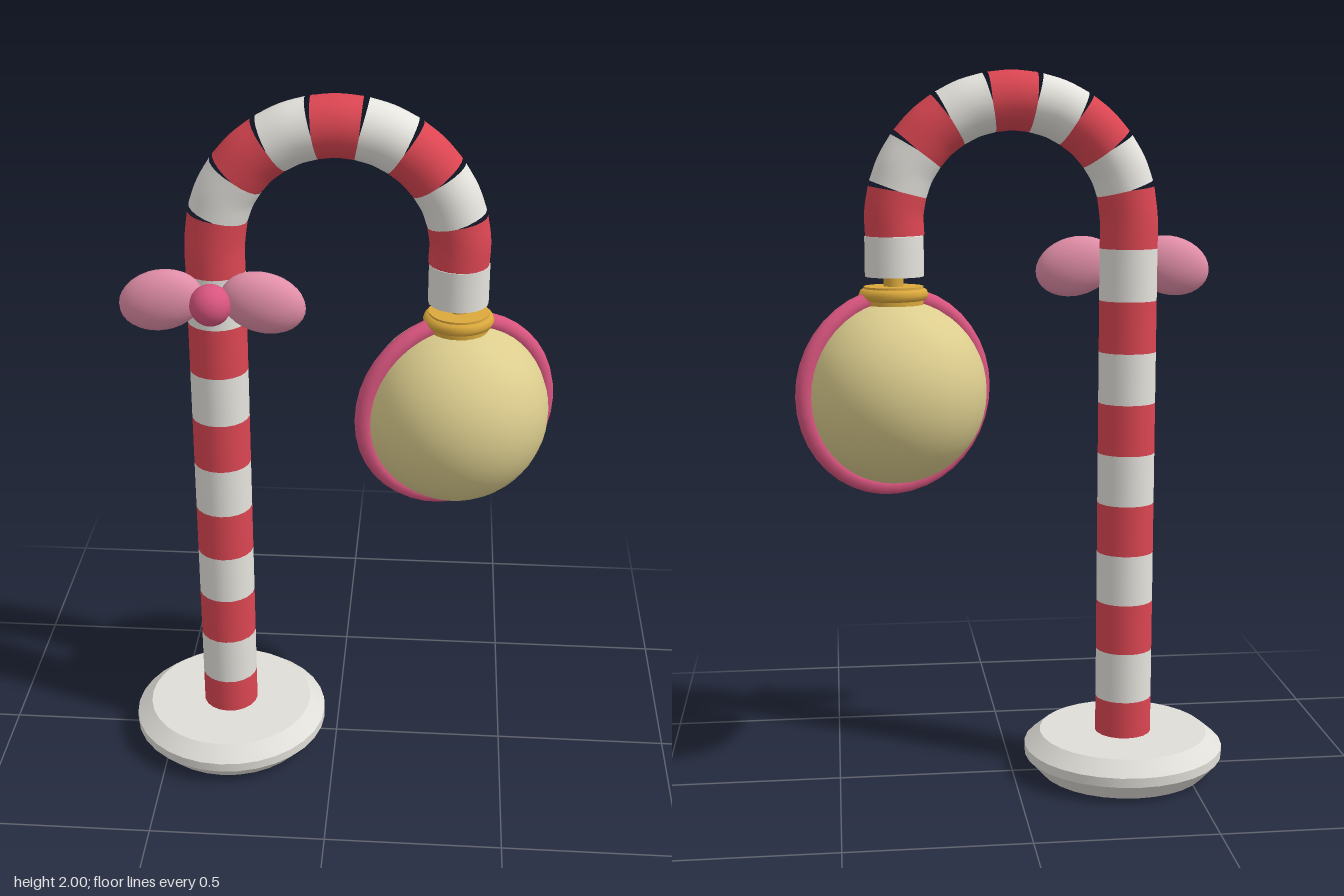
import * as THREE from 'three';

export function createModel() {
  const model = new THREE.Group();
  const paint = (name, color) => {
    const m = new THREE.MeshStandardMaterial({ color });
    m.name = name;
    return m;
  };
  const red = paint('stripe red', 0xdc4652);
  const white = paint('stripe white', 0xe6e4de);
  const stone = paint('base white', 0xdfddd7);
  const cream = paint('bauble cream', 0xdccd8e);
  const gold = paint('cap gold', 0xdba83c);
  const rose = paint('ribbon rose', 0xd9557f);
  const pink = paint('bow pink', 0xe18ea8);

  const add = (name, geometry, material, x = 0, y = 0, z = 0, parent = model) => {
    const mesh = new THREE.Mesh(geometry, material);
    mesh.name = name;
    mesh.position.set(x, y, z);
    parent.add(mesh);
    return mesh;
  };

  const R = 0.325;       // radius of the hook, also the pole offset
  const TUBE = 0.081;    // cane thickness
  const HOOK_Y = 1.595;  // centre height of the hook

  // Base: two bevels around a narrow rim
  const baseProfile = [[0.243, 0], [0.288, 0.05], [0.288, 0.077], [0.243, 0.115]];
  for (let i = 0; i < 3; i++) {
    const [r0, y0] = baseProfile[i], [r1, y1] = baseProfile[i + 1];
    add('base', new THREE.CylinderGeometry(r1, r0, y1 - y0, 32, 1, i === 1), stone, -R, (y0 + y1) / 2, 0);
  }

  // Straight pole: alternating bands
  const START = 0.077, BAND = 0.1441;
  for (let i = 0; i < 10; i++) {
    add('poleBand', new THREE.CylinderGeometry(TUBE, TUBE, BAND, 20, 1, true),
      i % 2 ? white : red, -R, START + BAND * (i + 0.5), 0);
  }

  // Hook: short bent bands, angle measured from the top
  const onHook = (deg) => {
    const a = THREE.MathUtils.degToRad(deg);
    return new THREE.Vector3(Math.sin(a) * R, HOOK_Y + Math.cos(a) * R, 0);
  };
  const hookBand = (points, material) =>
    add('hookBand', new THREE.TubeGeometry(new THREE.CatmullRomCurve3(points), 8, TUBE, 20), material);
  const STEP = 21.5;
  hookBand([new THREE.Vector3(-R, START + BAND * 10, 0), onHook(-90), onHook(-75.25)], red);
  for (let i = 0; i < 8; i++) {
    const a = -75.25 + i * STEP;
    hookBand([onHook(a), onHook(a + STEP / 2), onHook(a + STEP)], i % 2 ? red : white);
  }
  // Hook tip
  add('hookTip', new THREE.CylinderGeometry(TUBE, TUBE, 0.11, 20), white, R, 1.501, 0);

  // Hanging bauble with its cap, link and tilted ribbon ring
  const bauble = new THREE.Group();
  bauble.name = 'bauble';
  bauble.position.set(0.328, 1.127, 0);
  model.add(bauble);
  add('ball', new THREE.SphereGeometry(0.256, 32, 24), cream, 0, 0, 0, bauble);
  add('cap', new THREE.CylinderGeometry(0.082, 0.082, 0.06, 24), gold, 0, 0.262, 0, bauble);
  add('capRim', new THREE.TorusGeometry(0.078, 0.018, 8, 28), gold, 0, 0.27, 0, bauble).rotation.x = Math.PI / 2;
  add('link', new THREE.CylinderGeometry(0.027, 0.027, 0.08, 12), gold, 0, 0.31, 0, bauble);
  add('ribbonRing', new THREE.TorusGeometry(0.265, 0.026, 10, 40), rose, 0, 0, 0, bauble).rotation.y = 0.36;

  // Bow: two mirrored loops and a knot
  const bow = new THREE.Group();
  bow.name = 'bow';
  bow.position.set(-R, 1.463, 0.085);
  model.add(bow);
  for (const side of [-1, 1]) {
    const loop = add('bowLoop', new THREE.SphereGeometry(1, 24, 16), pink, side * 0.136, 0, 0, bow);
    loop.scale.set(0.115, 0.083, 0.057);
    loop.rotation.z = -side * 0.25;
  }
  add('bowKnot', new THREE.SphereGeometry(0.056, 20, 14), rose, 0, 0.002, 0.032, bow);

  return model;
}
